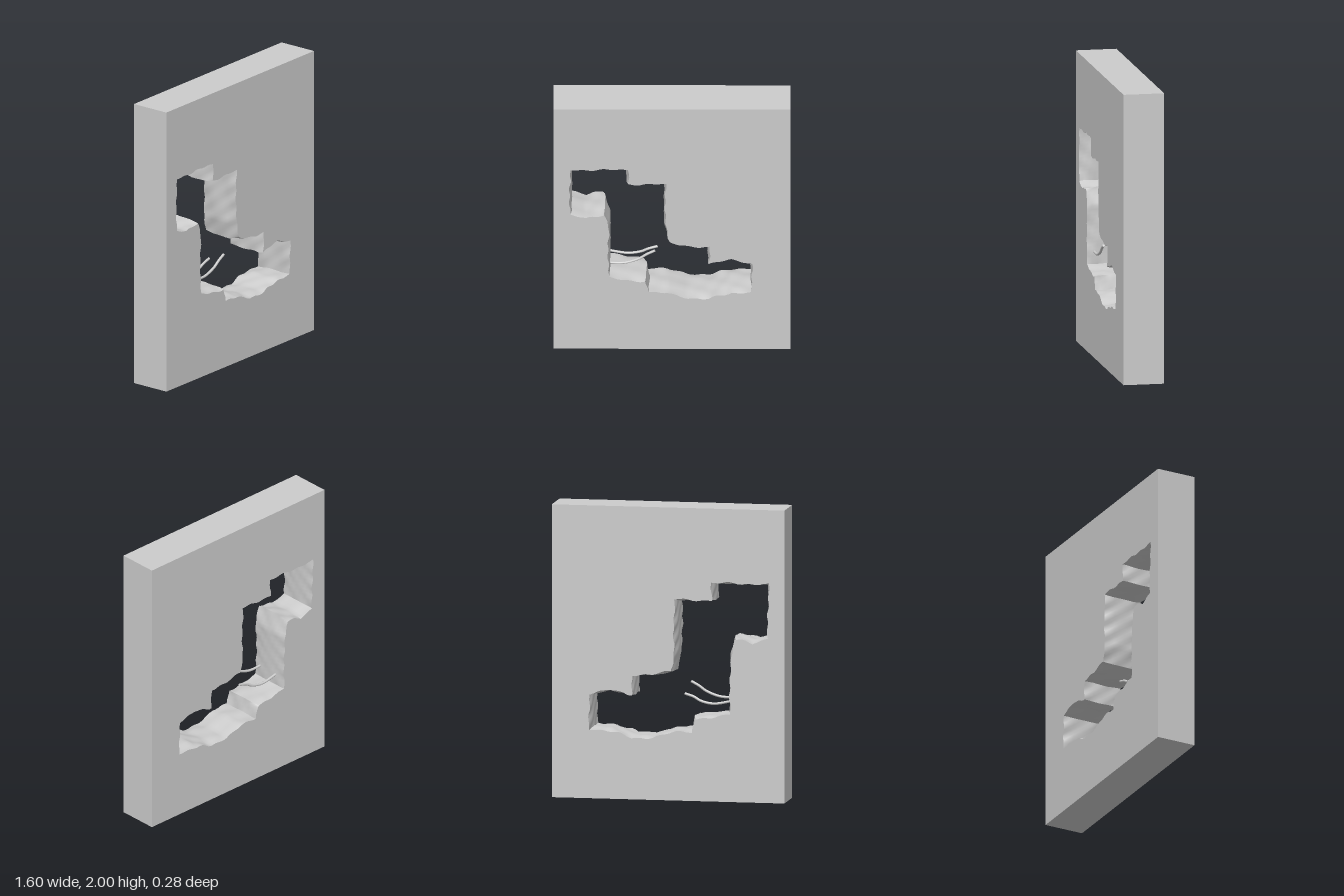
import * as THREE from 'three';
import { toCreasedNormals } from 'three/addons/utils/BufferGeometryUtils.js';

const W = 1.6, H = 2, D = 0.28;

// Stepped outline of the breach, clockwise from the top left
const BREACH = [
  [-0.675, 1.48], [-0.31, 1.48], [-0.31, 1.36], [-0.055, 1.36], [-0.055, 1.0], [-0.03, 0.87],
  [0.11, 0.84], [0.24, 0.84], [0.24, 0.7], [0.4, 0.73], [0.53, 0.7], [0.53, 0.48],
  [0.4, 0.48], [0.25, 0.435], [0.11, 0.435], [-0.03, 0.48], [-0.15, 0.48], [-0.17, 0.575],
  [-0.3, 0.585], [-0.415, 0.605], [-0.415, 1.0], [-0.45, 1.13], [-0.58, 1.1], [-0.675, 1.13],
].map(([x, y]) => new THREE.Vector2(x, y));

// Subdivided outline, each point with its direction into the wall
function sampleOutline() {
  const n = BREACH.length, out = [];
  const normal = (i) => {
    const d = BREACH[(i + 1) % n].clone().sub(BREACH[i % n]).normalize();
    return new THREE.Vector2(-d.y, d.x);
  };
  for (let i = 0; i < n; i++) {
    const a = BREACH[i], b = BREACH[(i + 1) % n];
    const before = normal(i + n - 1), after = normal(i);
    const miter = before.clone().add(after).divideScalar(1 + before.dot(after));
    const steps = Math.max(2, Math.ceil(a.distanceTo(b) / 0.025));
    for (let k = 0; k < steps; k++) {
      out.push({ p: a.clone().lerp(b, k / steps), n: k === 0 ? miter : after });
    }
  }
  return out;
}

// Chipped ring at depth z: narrowest mid-wall, rougher toward both faces
function ringAt(samples, z) {
  return samples.map(({ p, n }) => {
    const s = Math.sin(p.x * 47 + z * 31 + p.y * 13) + Math.sin(p.y * 53 - z * 43 + p.x * 19);
    const edge = Math.abs(z) / (D / 2);
    const push = 0.002 + 0.011 * edge * edge + (0.0015 + 0.0035 * edge) * s;
    return p.clone().addScaledVector(n, push);
  });
}

// Wall face pierced by a ring
function faceGeometry(ring, mirror) {
  const shape = new THREE.Shape([[-W / 2, 0], [W / 2, 0], [W / 2, H], [-W / 2, H]]
    .map(([x, y]) => new THREE.Vector2(x, y)));
  shape.holes.push(new THREE.Path(ring.map((p) => new THREE.Vector2(p.x * mirror, p.y))));
  return new THREE.ShapeGeometry(shape).translate(0, 0, D / 2);
}

// Rough inner surface of the breach
function liningGeometry(rings, depths) {
  const pos = [], index = [], n = rings[0].length;
  rings.forEach((ring, j) => ring.forEach((p) => pos.push(p.x, p.y, depths[j])));
  for (let j = 0; j < rings.length - 1; j++) {
    for (let i = 0; i < n; i++) {
      const k = (i + 1) % n, a = j * n + i, b = j * n + k;
      index.push(a, b, a + n, b, b + n, a + n);
    }
  }
  const g = new THREE.BufferGeometry();
  g.setAttribute('position', new THREE.Float32BufferAttribute(pos, 3));
  g.setIndex(index);
  return toCreasedNormals(g, Math.PI / 4);
}

export function createModel() {
  const model = new THREE.Group();
  model.name = 'breachedWall';
  const mat = new THREE.MeshStandardMaterial({ color: 0xcccccc });
  const add = (geometry, name) => {
    const mesh = new THREE.Mesh(geometry, mat);
    mesh.name = name;
    model.add(mesh);
    return mesh;
  };

  const samples = sampleOutline();
  const depths = Array.from({ length: 9 }, (_, j) => -D / 2 + (D * j) / 8);
  const rings = depths.map((z) => ringAt(samples, z));

  // Pierced faces and lining
  add(faceGeometry(rings[8], 1), 'frontFace');
  add(faceGeometry(rings[0], -1).rotateY(Math.PI), 'backFace');
  add(liningGeometry(rings, depths), 'breachLining');

  // Outer edges of the slab
  for (const s of [-1, 1]) {
    add(new THREE.PlaneGeometry(D, H).rotateY(s * Math.PI / 2).translate(s * W / 2, H / 2, 0),
      s > 0 ? 'leftEdge' : 'rightEdge');
    add(new THREE.PlaneGeometry(W, D).rotateX(-s * Math.PI / 2).translate(0, s > 0 ? H : 0, 0),
      s > 0 ? 'topEdge' : 'bottomEdge');
  }

  // Bent reinforcing bars sticking out of the broken side
  const bars = [
    [[-0.44, 0.685, 0.09], [-0.32, 0.685, 0.09], [-0.22, 0.72, 0.09], [-0.17, 0.755, 0.09], [-0.115, 0.785, 0.09]],
    [[-0.44, 0.682, -0.06], [-0.3, 0.657, -0.06], [-0.21, 0.673, -0.055], [-0.16, 0.7, -0.05], [-0.098, 0.72, -0.05]],
  ];
  bars.forEach((points, i) => {
    const path = new THREE.CatmullRomCurve3(points.map((p) => new THREE.Vector3(...p)));
    add(new THREE.TubeGeometry(path, 24, 0.009, 10), 'bar' + (i + 1));
    // Flat cut end
    const cap = add(new THREE.CircleGeometry(0.009, 10), 'barEnd' + (i + 1));
    const end = path.getPoint(1);
    cap.position.copy(end);
    cap.lookAt(end.clone().add(path.getTangent(1)));
  });

  return model;
}
